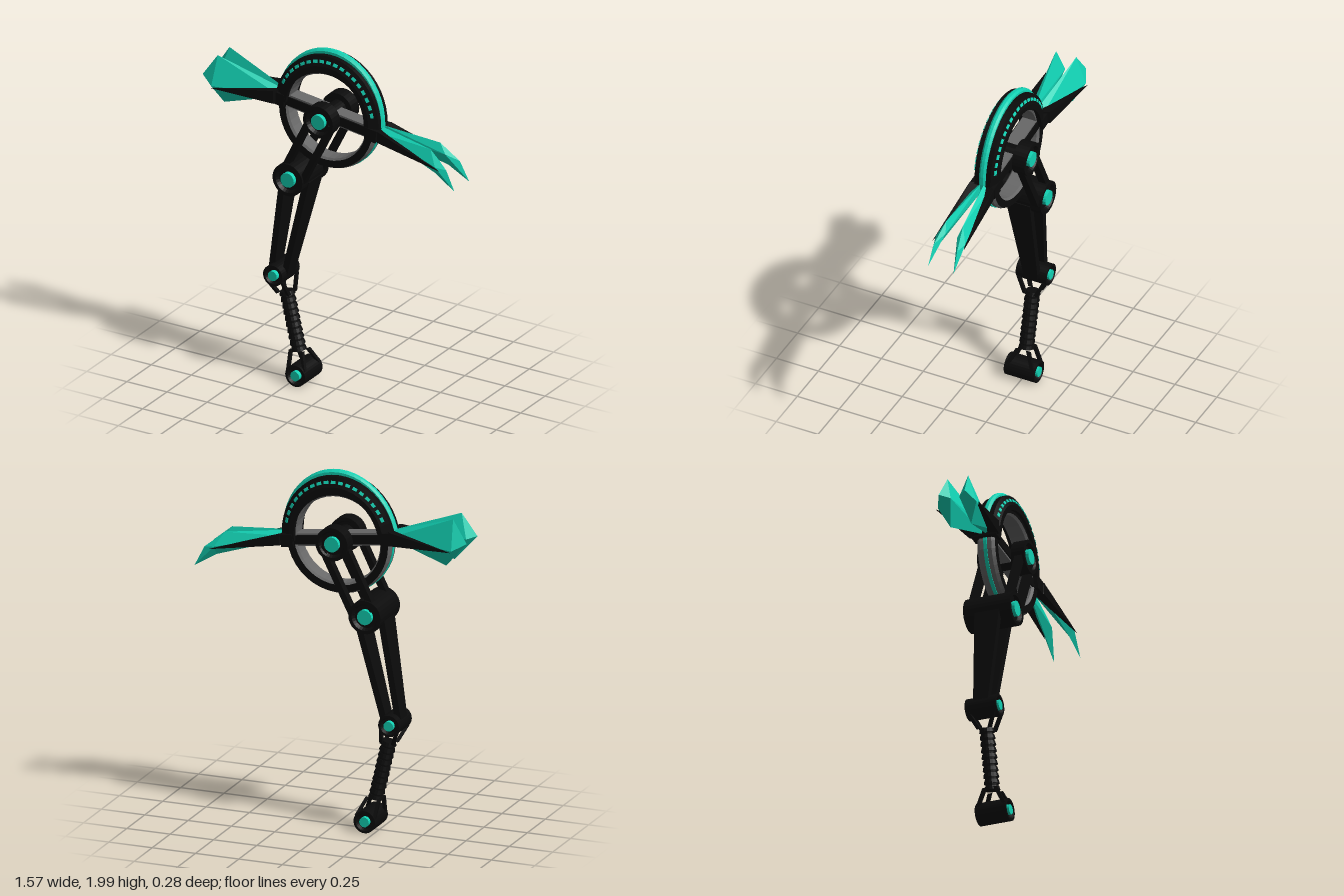
import * as THREE from 'three';
import { ConvexGeometry } from 'three/addons/geometries/ConvexGeometry.js';

export function createModel() {
  const mat = (name, color) => {
    const m = new THREE.MeshStandardMaterial({ color });
    m.name = name;
    return m;
  };
  const black = mat('black', 0x0b0b0b);
  const teal = mat('teal', 0x12d2b4);
  const grey = mat('grey', 0x686868);
  const root = new THREE.Group();
  root.name = 'wheelLeg';

  const add = (name, geo, material, parent = root) => {
    const m = new THREE.Mesh(geo, material);
    m.name = name;
    parent.add(m);
    return m;
  };
  const flat = (geo) => {
    const g = geo.index ? geo.toNonIndexed() : geo;
    g.computeVertexNormals();
    return g;
  };
  // Profile of [radius, z] turned about the z axis; starts at the bottom, runs anticlockwise
  const turn = (pts, segs = 24, start = 0, len = Math.PI * 2, sx = 1) =>
    flat(new THREE.LatheGeometry(pts.map((p) => new THREE.Vector2(...p)), segs, start, len)
      .rotateX(Math.PI / 2).scale(sx, 1, 1));

  // Bar between two points in the xy plane, with its own z range at each end
  const strut = (name, [x0, y0], [x1, y1], t, z0, z1, material = black) => {
    const g = new THREE.BoxGeometry(1, 1, 1);
    const p = g.attributes.position;
    const dx = x1 - x0, dy = y1 - y0, l = Math.hypot(dx, dy);
    for (let i = 0; i < p.count; i++) {
      const u = p.getY(i) + 0.5, w = p.getX(i) * t, v = p.getZ(i) + 0.5;
      const near = THREE.MathUtils.lerp(z0[0], z1[0], u);
      const far = THREE.MathUtils.lerp(z0[1], z1[1], u);
      p.setXYZ(i, x0 + dx * u + dy / l * w, y0 + dy * u - dx / l * w, near + (far - near) * v);
    }
    add(name, flat(g), material);
  };
  // z range mirrored to side s
  const side = (s, a, b) => (s > 0 ? [a, b] : [-b, -a]);

  // Round joint with a dished face and a cap at each chosen end
  const pivot = (name, x, y, z, r, w, capR, ends) => {
    const group = new THREE.Group();
    group.name = name;
    group.position.set(x, y, z);
    root.add(group);
    const d = 0.02, i = r * 0.68;
    add('jointBody', turn([[0, d - w], [i, d - w], [r * 0.8, -w], [r, -w],
      [r, w], [r * 0.8, w], [i, w - d], [0, w - d]], 28), black, group);
    for (const s of ends) {
      const cap = add('jointCap', flat(new THREE.CylinderGeometry(capR, capR, 0.03, 16)
        .rotateX(Math.PI / 2)), teal, group);
      cap.position.z = s * (w - 0.011);
    }
  };

  // Wheel head, tilted about the hub
  const hub = [-0.03, 1.62];
  const head = new THREE.Group();
  head.name = 'wheelHead';
  head.position.set(hub[0], hub[1], 0);
  head.rotation.z = -0.13;
  root.add(head);

  add('wheelRim', turn([[0.242, -0.04], [0.26, -0.052], [0.285, -0.052], [0.3, -0.035],
    [0.3, 0.035], [0.285, 0.052], [0.26, 0.052], [0.242, 0.04], [0.242, -0.04]], 40), grey, head);
  add('wheelStripe', turn([[0.298, -0.01], [0.304, -0.01], [0.304, 0.01], [0.298, 0.01]], 40), teal, head);
  for (const s of [1, -1]) {
    const face = add('wheelFace', flat(new THREE.RingGeometry(0.251, 0.292, 40)), black, head);
    face.position.z = s * 0.0535;
    if (s < 0) face.rotation.y = Math.PI;
  }

  // Fender over the upper half, with a raised crest
  add('fender', turn([[0.27, -0.07], [0.3, -0.07], [0.355, -0.047], [0.355, 0.047],
    [0.3, 0.07], [0.27, 0.07], [0.27, -0.07]], 24, Math.PI / 2, Math.PI, 0.91), black, head);
  add('fenderCrest', turn([[0.34, -0.02], [0.37, -0.02], [0.38, -0.008], [0.38, 0.008],
    [0.37, 0.02], [0.34, 0.02]], 24, Math.PI / 2, Math.PI, 0.875), teal, head);
  const dashes = 18;
  for (const s of [1, -1]) {
    for (let i = 0; i < dashes; i++) {
      const a = THREE.MathUtils.lerp(0.36, Math.PI - 0.36, i / (dashes - 1));
      const dash = add('fenderDash', new THREE.BoxGeometry(0.017, 0.026, 0.006), teal, head);
      dash.position.set(Math.cos(a) * 0.325 * 0.91, Math.sin(a) * 0.325, s * 0.0605);
      dash.rotation.set(0, s * 0.4, a, 'ZYX');
    }
  }

  // Cross bar and the clamps at the fender ends
  add('crossBar', new THREE.BoxGeometry(0.56, 0.07, 0.08), grey, head);
  add('crossBarFace', new THREE.BoxGeometry(0.56, 0.05, 0.096), black, head);
  for (const s of [1, -1]) {
    const clamp = add('fenderClamp', new THREE.BoxGeometry(0.07, 0.07, 0.145), black, head);
    clamp.position.set(s * 0.289, 0.005, 0);
  }

  // Paired blades at both ends, each with a dark spike on its outer side
  const hull = (name, pts, s, material) =>
    add(name, new ConvexGeometry(pts.map(([x, y, z]) => new THREE.Vector3(x, y, z * s))), material);
  for (const s of [1, -1]) {
    hull('rearBlade', [[-0.33, 1.7, 0.008], [-0.33, 1.65, 0.008], [-0.33, 1.67, 0.04],
      [-0.7, 1.825, 0.06], [-0.66, 1.56, 0.06], [-0.71, 1.66, 0.112],
      [-0.74, 1.69, 0.025], [-0.785, 1.7, 0.075]], s, teal);
    hull('rearSpike', [[-0.31, 1.71, 0.02], [-0.31, 1.64, 0.02], [-0.34, 1.635, 0.085],
      [-0.34, 1.71, 0.085], [-0.39, 1.69, 0.09], [-0.39, 1.645, 0.09],
      [-0.6, 1.66, 0.07], [-0.71, 1.655, 0.125]], s, black);
    const section = [[0.62, 1.585, 0.05], [0.66, 1.46, 0.065], [0.67, 1.505, 0.088], [0.66, 1.53, 0.035]];
    hull('frontBlade', [[0.29, 1.625, 0.008], [0.29, 1.57, 0.008], [0.29, 1.6, 0.04], ...section], s, teal);
    hull('frontBladeTip', [...section, [0.73, 1.495, 0.07], [0.785, 1.385, 0.076]], s, teal);
    hull('frontSpike', [[0.27, 1.62, 0.02], [0.27, 1.555, 0.02], [0.3, 1.62, 0.073],
      [0.3, 1.555, 0.073], [0.6, 1.52, 0.06], [0.7, 1.49, 0.094]], s, black);
  }

  // Joints
  const knee = [-0.22, 1.235], ankle = [-0.34, 0.625], foot = [-0.2, 0.07];
  for (const s of [1, -1]) pivot('hubJoint', hub[0], hub[1], s * 0.098, 0.093, 0.038, 0.042, [s]);
  add('hubAxle', flat(new THREE.CylinderGeometry(0.05, 0.05, 0.15, 20).rotateX(Math.PI / 2)
    .translate(hub[0], hub[1], 0)), black);
  pivot('kneeJoint', ...knee, 0, 0.093, 0.136, 0.042, [1, -1]);
  pivot('ankleJoint', ...ankle, 0, 0.06, 0.09, 0.028, [1, -1]);
  pivot('footJoint', ...foot, 0, 0.062, 0.09, 0.028, [1, -1]);

  // Upper fork beside the wheel
  for (const s of [1, -1]) {
    const z = side(s, 0.08, 0.124);
    strut('upperForkBar', [-0.105, 1.59], [-0.262, 1.27], 0.035, z, z);
    strut('upperForkBar', [0.04, 1.6], [-0.145, 1.23], 0.035, z, z);
  }
  // Lower link of two broad, tapering bars
  strut('lowerLinkBar', [-0.29, 1.21], [-0.378, 0.63], 0.036, [-0.072, 0.072], [-0.042, 0.042]);
  strut('lowerLinkBar', [-0.142, 1.22], [-0.298, 0.62], 0.036, [-0.072, 0.072], [-0.042, 0.042]);

  // Ribbed shock
  const top = new THREE.Vector3(-0.307, 0.515, 0), low = new THREE.Vector3(-0.23, 0.185, 0);
  const shock = new THREE.Group();
  shock.name = 'shock';
  shock.position.copy(top).lerp(low, 0.5);
  shock.rotation.z = Math.atan2(low.x - top.x, top.y - low.y);
  root.add(shock);
  const len = top.distanceTo(low), ribs = 10;
  add('shockCore', flat(new THREE.CylinderGeometry(0.034, 0.034, len, 16)), black, shock);
  for (let i = 0; i < ribs; i++) {
    const rib = add('shockRib', flat(new THREE.CylinderGeometry(0.038, 0.043, 0.022, 16)), black, shock);
    rib.position.y = (i / (ribs - 1) - 0.5) * (len - 0.022);
  }

  // Four legs joining each end of the shock to its joint
  for (const s of [1, -1]) {
    const wide = side(s, 0.065, 0.086), slim = side(s, 0.02, 0.042);
    strut('ankleClevis', [-0.382, 0.59], [-0.34, 0.505], 0.016, wide, slim);
    strut('ankleClevis', [-0.29, 0.595], [-0.275, 0.505], 0.016, wide, slim);
    strut('footClevis', [-0.252, 0.09], [-0.262, 0.19], 0.016, wide, slim);
    strut('footClevis', [-0.15, 0.1], [-0.192, 0.19], 0.016, wide, slim);
  }
  return root;
}
